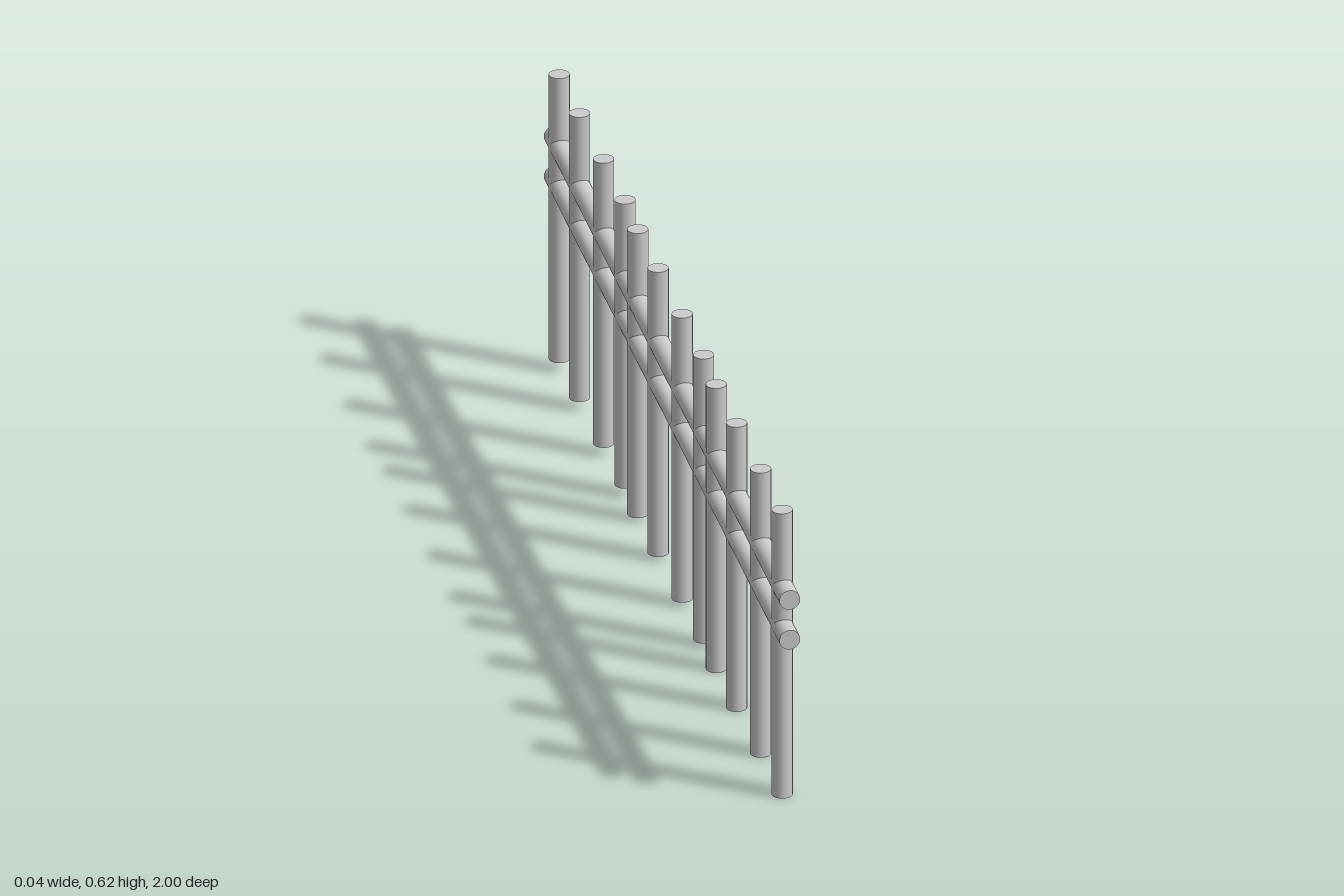
import * as THREE from 'three';

const RADIUS = 0.02;
const POST_HEIGHT = 0.594;
const PANEL = 2 / 3; // length of one fence panel
const RISE = 0.011; // climb from one panel to the next

export function createModel() {
  const fence = new THREE.Group();
  fence.name = 'fence';
  const material = new THREE.MeshStandardMaterial({ color: 0xcccccc });

  // Upright posts: the same four uneven spacings in each of three rising panels
  const postGeometry = new THREE.CylinderGeometry(RADIUS, RADIUS, POST_HEIGHT, 24);
  for (let panel = 0; panel < 3; panel++) {
    for (const z of [0.935, 0.753, 0.549, 0.376]) {
      const post = new THREE.Mesh(postGeometry, material);
      post.name = 'post';
      post.position.set(0, POST_HEIGHT / 2 + panel * RISE, z - panel * PANEL);
      fence.add(post);
    }
  }

  // Two rails running the whole length, sheared so their ends stay vertical
  const railGeometry = new THREE.CylinderGeometry(RADIUS, RADIUS, 2, 24);
  railGeometry.rotateX(Math.PI / 2);
  const slope = new THREE.Matrix4().set(
    1, 0, 0, 0,
    0, 1, -RISE / PANEL, 0,
    0, 0, 1, 0,
    0, 0, 0, 1
  );
  railGeometry.applyMatrix4(slope);
  for (const [name, frontY] of [['lowerRail', 0.352], ['upperRail', 0.435]]) {
    const rail = new THREE.Mesh(railGeometry, material);
    rail.name = name;
    rail.position.y = frontY + RISE / PANEL;
    fence.add(rail);
  }

  return fence;
}
